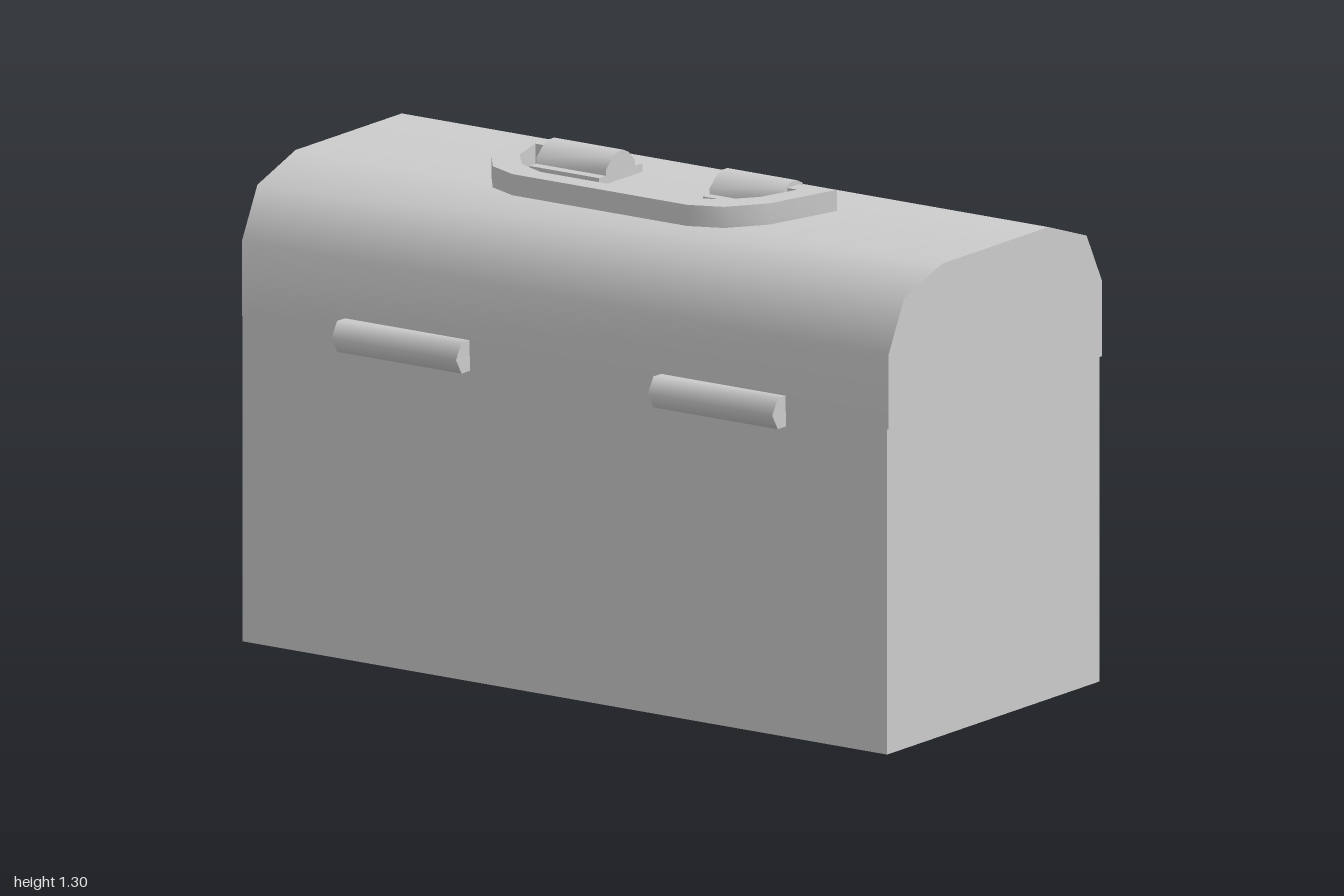
import * as THREE from 'three';
import { toCreasedNormals } from 'three/addons/utils/BufferGeometryUtils.js';

const grey = new THREE.MeshStandardMaterial({ color: 0xcccccc });
grey.name = 'grey metal';

const shapeOf = (pts) => new THREE.Shape(pts.map(([a, b]) => new THREE.Vector2(a, b)));

function add(parent, name, geometry) {
  const mesh = new THREE.Mesh(geometry, grey);
  mesh.name = name;
  parent.add(mesh);
  return mesh;
}

// Extrudes a [z, y] side profile along x, centred on x = 0
function sideExtrude(pts, width, crease = 0.9) {
  const g = new THREE.ExtrudeGeometry(shapeOf(pts), { depth: width, bevelEnabled: false });
  g.translate(0, 0, -width / 2);
  g.rotateY(-Math.PI / 2);
  return toCreasedNormals(g, crease);
}

// Extrudes an [x, y] outline from z = back to z = front
function frontExtrude(pts, back, front, holes = []) {
  const shape = shapeOf(pts);
  holes.forEach((h) => shape.holes.push(new THREE.Path(h.map(([a, b]) => new THREE.Vector2(a, b)))));
  const g = new THREE.ExtrudeGeometry(shape, { depth: front - back, bevelEnabled: false });
  g.translate(0, 0, back);
  return g;
}

const rect = (x, y0, y1) => [[-x, y0], [x, y0], [x, y1], [-x, y1]];

function createLatch() {
  const latch = new THREE.Group();
  latch.name = 'latch';
  // Plates fixed to the lid and to the box
  add(latch, 'latchLidPlate', frontExtrude(
    [[-0.148, 0.66], [0.148, 0.66], [0.148, 0.9], [0.125, 0.9], [0.125, 0.945],
      [-0.125, 0.945], [-0.125, 0.9], [-0.148, 0.9]], -0.482, -0.44));
  add(latch, 'latchBoxPlate', frontExtrude(
    [[-0.08, 0.492], [0.08, 0.492], [0.125, 0.66], [-0.125, 0.66]], -0.48, -0.44));
  // Frame with the clasp inside it
  add(latch, 'latchFrame', frontExtrude(rect(0.092, 0.68, 0.943), -0.515, -0.482, [rect(0.07, 0.72, 0.912)]));
  add(latch, 'latchUpperCatch', sideExtrude(
    [[-0.48, 0.908], [-0.535, 0.908], [-0.535, 0.852], [-0.515, 0.832], [-0.48, 0.832]], 0.14, 0.3));
  add(latch, 'latchLowerCatch', sideExtrude(
    [[-0.48, 0.832], [-0.515, 0.832], [-0.526, 0.805], [-0.526, 0.722], [-0.48, 0.722]], 0.125, 0.6));
  // Bent pull lever
  add(latch, 'latchLever', sideExtrude(
    [[-0.483, 0.72], [-0.514, 0.72], [-0.514, 0.685], [-0.536, 0.655], [-0.523, 0.615],
      [-0.523, 0.547], [-0.483, 0.547], [-0.483, 0.615], [-0.5, 0.652], [-0.483, 0.69]], 0.1, 0.3));
  return latch;
}

export function createModel() {
  const model = new THREE.Group();
  model.name = 'toolbox';

  // Box
  const box = add(model, 'box', new THREE.BoxGeometry(1.994, 0.845, 0.92));
  box.position.set(-0.003, 0.4225, 0.02);

  // Domed lid
  add(model, 'lid', sideExtrude(
    [[0.482, 0.845], [0.482, 1.04], [0.415, 1.172], [0.25, 1.228],
      [-0.21, 1.228], [-0.375, 1.172], [-0.442, 1.04], [-0.442, 0.845]], 2));

  // Carrying handle, lying flat towards the front: half outlines [x, z]
  const outer = [[0.27, 0], [0.375, 0], [0.487, -0.012], [0.43, 0.2], [0.358, 0.295], [0.27, 0.332]];
  const inner = [[0.225, 0.273], [0.31, 0.235], [0.372, 0.16], [0.405, 0.045], [0.27, 0.045]];
  const mirror = (pts) => pts.map(([x, z]) => [-x, z]).reverse();
  const outline = [...outer, ...mirror(outer), ...mirror(inner), ...inner];
  // reorder the inner edge so it runs from the left end to the right end
  outline.splice(outer.length * 2, inner.length * 2,
    ...inner.map(([x, z]) => [-x, z]).reverse(), ...inner);
  const handleGeometry = new THREE.ExtrudeGeometry(shapeOf(outline), { depth: 0.055, bevelEnabled: false });
  handleGeometry.rotateX(Math.PI / 2);
  handleGeometry.translate(0, 1.29, 0);
  add(model, 'handle', toCreasedNormals(handleGeometry, 0.75));

  for (const side of [-1, 1]) {
    // Handle mounts on the lid
    const mount = new THREE.Group();
    mount.name = 'handleMount';
    mount.position.x = side * 0.268;
    const flange = add(mount, 'mountFlange', new THREE.BoxGeometry(0.215, 0.026, 0.187));
    flange.position.set(0, 1.237, 0.0175);
    add(mount, 'mountHump', sideExtrude(
      [[0.082, 1.23], [0.082, 1.265], [0.052, 1.292], [0.03, 1.302], [0.005, 1.302],
        [-0.017, 1.292], [-0.044, 1.265], [-0.044, 1.23]], 0.215));
    model.add(mount);

    // Hinges on the front seam
    const hinge = add(model, 'hinge', sideExtrude(
      [[0.475, 0.886], [0.516, 0.886], [0.54, 0.846], [0.516, 0.806], [0.475, 0.806]], 0.385, 1.2));
    hinge.position.x = side * 0.489;

    // Latches on the back
    const latch = createLatch();
    latch.position.x = side * 0.49;
    model.add(latch);
  }
  return model;
}
